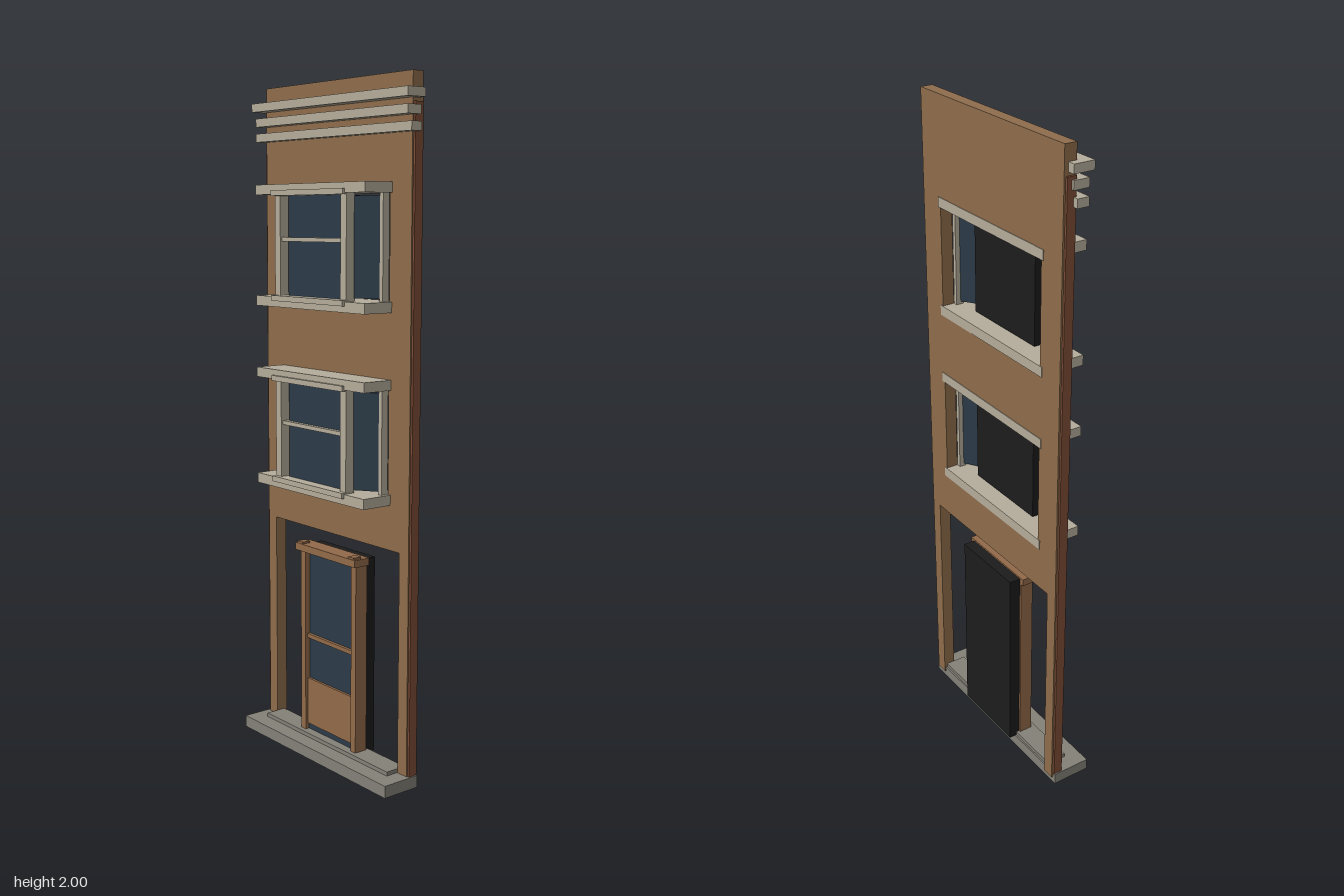
import * as THREE from 'three';

const mat = (name, color, extra = {}) => Object.assign(new THREE.MeshStandardMaterial({ color, ...extra }), { name });

export function createModel() {
  const brick = mat('brown wall', 0x8f6d4c);
  const edgeBrick = mat('red brown edge', 0x7d4d36);
  const wood = mat('door wood', 0x926a49);
  const trim = mat('pale stone trim', 0xb5ad9b);
  const stone = mat('grey step stone', 0x848178);
  const glass = mat('dark blue glass', 0x2c3b48);
  const black = mat('black backing', 0x1c1c1c);

  const model = new THREE.Group();
  model.name = 'townhouseFacade';

  // Box given by its minimum and maximum on each axis
  const box = (parent, name, m, x0, x1, y0, y1, z0, z1) => {
    const mesh = new THREE.Mesh(new THREE.BoxGeometry(x1 - x0, y1 - y0, z1 - z0), m);
    mesh.position.set((x0 + x1) / 2, (y0 + y1) / 2, (z0 + z1) / 2);
    mesh.name = name;
    parent.add(mesh);
    return mesh;
  };
  // Box centred on x = 0
  const wide = (parent, name, m, hx, ...r) => box(parent, name, m, -hx, hx, ...r);
  // Mirrored pair of boxes
  const pair = (parent, name, m, x0, x1, ...r) => {
    box(parent, name + 'Left', m, x0, x1, ...r);
    box(parent, name + 'Right', m, -x1, -x0, ...r);
  };

  // Wall with shopfront opening and two window holes
  const outline = new THREE.Shape();
  [[-0.332, 0.02], [-0.293, 0.02], [-0.293, 0.686], [0.293, 0.686], [0.293, 0.02], [0.332, 0.02], [0.332, 2], [-0.332, 2]]
    .forEach(([x, y], i) => (i ? outline.lineTo(x, y) : outline.moveTo(x, y)));
  const windowBases = [0.816, 1.357];
  for (const y of windowBases) {
    const hole = new THREE.Path();
    hole.moveTo(-0.243, y + 0.01);
    hole.lineTo(-0.243, y + 0.345);
    hole.lineTo(0.243, y + 0.345);
    hole.lineTo(0.243, y + 0.01);
    outline.holes.push(hole);
  }
  const wall = new THREE.Mesh(new THREE.ExtrudeGeometry(outline, { depth: 0.037, bevelEnabled: false }), brick);
  wall.position.z = -0.065;
  wall.name = 'wall';
  model.add(wall);
  pair(model, 'wallEdge', edgeBrick, 0.33, 0.339, 0.03, 1.92, -0.06, -0.032);

  // Stepped cornice
  [[0.355, 1.93, 0.01, -0.053], [0.346, 1.886, 0.002, -0.046], [0.355, 1.842, -0.004, -0.04]]
    .forEach(([hx, y, z1, z0], i) => wide(model, 'cornice' + (i + 1), trim, hx, y, y + 0.025, z0, z1));

  // Bay windows
  windowBases.forEach((y, i) => {
    const bay = new THREE.Group();
    bay.name = 'bayWindow' + (i + 1);
    bay.position.y = y;
    model.add(bay);
    wide(bay, 'sill', trim, 0.253, 0, 0.03, -0.067, 0.07);
    wide(bay, 'header', trim, 0.253, 0.326, 0.355, -0.067, 0.07);
    wide(bay, 'sillLip', trim, 0.167, 0.018, 0.034, 0.035, 0.078);
    wide(bay, 'headerLip', trim, 0.167, 0.322, 0.338, 0.035, 0.078);
    pair(bay, 'cornerPost', trim, 0.14, 0.166, 0.03, 0.326, 0.032, 0.063);
    pair(bay, 'wallPost', trim, 0.228, 0.241, 0.03, 0.326, -0.028, -0.005);
    wide(bay, 'middleBar', trim, 0.142, 0.191, 0.203, 0.038, 0.056);
    wide(bay, 'frontGlass', glass, 0.128, 0.03, 0.326, 0.034, 0.042);
    wide(bay, 'backing', black, 0.146, 0.036, 0.32, -0.015, 0.012);
    // Canted side panes
    for (const s of [1, -1]) {
      const pane = new THREE.Mesh(new THREE.BoxGeometry(0.092, 0.28, 0.006), glass);
      pane.position.set(s * 0.195, 0.178, 0.012);
      pane.rotation.y = s * 0.59;
      pane.name = s > 0 ? 'sidePaneLeft' : 'sidePaneRight';
      bay.add(pane);
    }
  });

  // Front step
  wide(model, 'step', stone, 0.343, 0, 0.036, -0.06, 0.062);
  wide(model, 'tread', stone, 0.293, 0.036, 0.048, -0.055, 0.012);

  // Door
  const door = new THREE.Group();
  door.name = 'door';
  model.add(door);
  pair(door, 'jamb', wood, 0.11, 0.132, 0.046, 0.62, -0.045, -0.003);
  wide(door, 'lintel', wood, 0.142, 0.617, 0.639, -0.045, 0.01);
  pair(door, 'lintelBlock', wood, 0.11, 0.135, 0.635, 0.645, -0.02, 0.008);
  wide(door, 'lowerPanel', wood, 0.112, 0.066, 0.212, -0.045, -0.012);
  wide(door, 'doorRail', wood, 0.112, 0.342, 0.355, -0.03, -0.01);
  wide(door, 'doorGlass', glass, 0.112, 0.21, 0.62, -0.03, -0.02);
  wide(door, 'kickStrip', glass, 0.112, 0.046, 0.067, -0.03, -0.016);
  wide(door, 'doorBacking', black, 0.126, 0.036, 0.634, -0.08, -0.045);

  return model;
}
